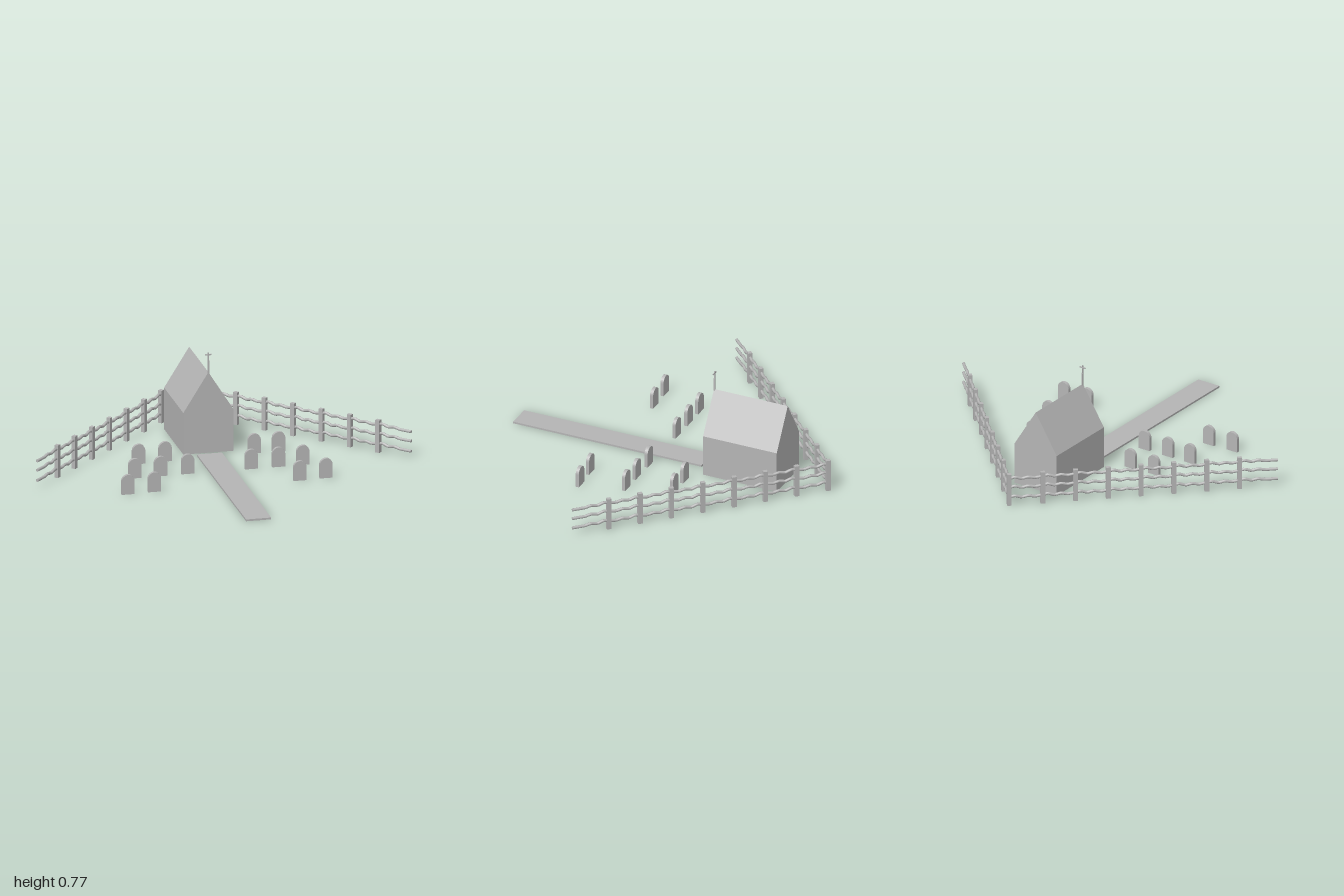
import * as THREE from 'three';

const stoneGrey = new THREE.MeshStandardMaterial({ color: 0xb4b4b4 });
stoneGrey.name = 'stoneGrey';

function add(parent, name, geometry, x = 0, y = 0, z = 0) {
  const mesh = new THREE.Mesh(geometry, stoneGrey);
  mesh.name = name;
  mesh.position.set(x, y, z);
  parent.add(mesh);
  return mesh;
}

// Extrudes a shape and centres its depth on z = 0
function slab(shape, depth) {
  return new THREE.ExtrudeGeometry(shape, { depth, bevelEnabled: false, curveSegments: 8 })
    .translate(0, 0, -depth / 2);
}

// Gabled chapel with a thin cross on the front of the ridge
function makeChapel() {
  const chapel = new THREE.Group();
  chapel.name = 'chapel';
  const w = 0.188, wall = 0.32, ridge = 0.62, length = 0.594;
  const gable = new THREE.Shape([
    new THREE.Vector2(-w, 0), new THREE.Vector2(w, 0), new THREE.Vector2(w, wall),
    new THREE.Vector2(0, ridge), new THREE.Vector2(-w, wall),
  ]);
  add(chapel, 'chapelBody', slab(gable, length));
  const z = length / 2 - 0.004;
  add(chapel, 'crossBase', new THREE.BoxGeometry(0.012, 0.11, 0.012), 0, 0.655, z);
  add(chapel, 'crossPole', new THREE.BoxGeometry(0.008, 0.08, 0.008), 0, 0.73, z);
  add(chapel, 'crossArm', new THREE.BoxGeometry(0.05, 0.009, 0.008), 0, 0.753, z);
  chapel.position.set(-0.543, 0, -0.54);
  chapel.rotation.y = Math.PI / 4;
  return chapel;
}

// Round-topped gravestone, facing the same way as the chapel
function gravestoneGeometry() {
  const r = 0.048, h = 0.102;
  const shape = new THREE.Shape();
  shape.moveTo(-r, 0);
  shape.lineTo(r, 0);
  shape.lineTo(r, h);
  shape.absarc(0, h, r, 0, Math.PI, false);
  shape.lineTo(-r, 0);
  return slab(shape, 0.025);
}

// Wavy rail starting at the corner and running along +x
function railGeometry() {
  const wave = [[0, 0], [0.16, 0.009], [0.36, -0.008], [0.56, 0.003], [0.76, -0.008]];
  const points = [];
  for (let i = 0; i < 8; i++) {
    for (const [t, dy] of wave) points.push(new THREE.Vector3((i + t) * 0.2425, dy, 0));
  }
  points.push(new THREE.Vector3(1.98, -0.008, 0));
  return railTube(points);
}

function railTube(points) {
  const path = new THREE.CurvePath();
  for (let i = 1; i < points.length; i++) path.add(new THREE.LineCurve3(points[i - 1], points[i]));
  const tube = new THREE.TubeGeometry(path, 120, 0.0115, 8, false);
  return tube;
}

// One straight fence: posts and three rails, with capped rail ends
function makeFence(name, firstPost) {
  const fence = new THREE.Group();
  fence.name = name;
  const post = new THREE.BoxGeometry(0.034, 0.25, 0.03);
  for (let i = firstPost; i < 8; i++) add(fence, 'fencePost', post, i * 0.2425, 0.125, 0);
  const rail = railGeometry();
  const cap = new THREE.CircleGeometry(0.0115, 8).rotateY(Math.PI / 2);
  for (const y of [0.065, 0.143, 0.215]) {
    add(fence, 'fenceRail', rail, 0, y, 0);
    add(fence, 'railEnd', cap, 1.98, y - 0.008, 0);
    add(fence, 'railStart', cap, 0, y, 0).rotation.y = Math.PI;
  }
  return fence;
}

export function createModel() {
  const model = new THREE.Group();
  model.name = 'churchyard';
  model.add(makeChapel());

  // Path leading away from the chapel door
  add(model, 'path', new THREE.BoxGeometry(0.188, 0.014, 1.52), 0.241, 0.007, 0.253)
    .rotation.y = Math.PI / 4;

  // Gravestones in rows on either side of the path
  const stone = gravestoneGeometry();
  const places = [
    [-0.045, -0.497], [0.083, -0.63], [0.12, -0.185], [0.265, -0.33], [0.393, -0.46],
    [0.559, -0.145], [0.692, -0.294],
    [-0.505, -0.005], [-0.64, 0.145], [-0.217, 0.15], [-0.36, 0.297], [-0.495, 0.437],
    [-0.213, 0.625], [-0.347, 0.775],
  ];
  for (const [x, z] of places) add(model, 'gravestone', stone, x, 0, z).rotation.y = Math.PI / 4;

  // Fences along the back and the right, meeting at the corner post
  const back = makeFence('backFence', 0);
  back.position.set(-0.98, 0, -0.985);
  const side = makeFence('sideFence', 1);
  side.position.set(-0.984, 0, -0.98);
  side.rotation.y = -Math.PI / 2;
  model.add(back, side);
  return model;
}
